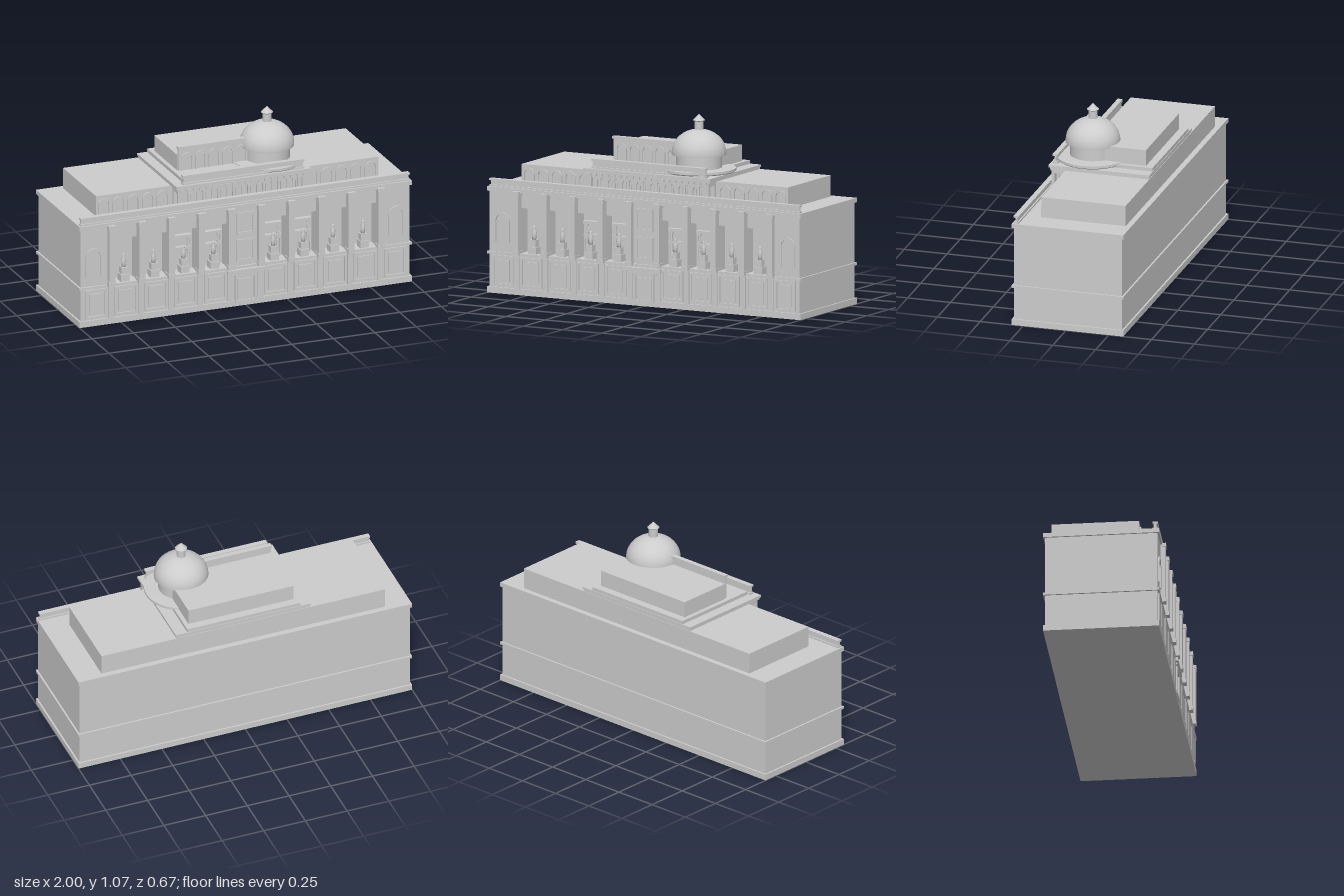
import * as THREE from 'three';

export function createModel() {
  const model = new THREE.Group();
  const stone = new THREE.MeshStandardMaterial({ color: 0xcccccc });
  stone.name = 'stone';

  const add = (name, geometry, x = 0, y = 0, z = 0) => {
    const mesh = new THREE.Mesh(geometry, stone);
    mesh.name = name;
    mesh.position.set(x, y, z);
    model.add(mesh);
    return mesh;
  };
  // Box from its minimum and maximum on each axis
  const block = (name, x0, x1, y0, y1, z0, z1) =>
    add(name, new THREE.BoxGeometry(x1 - x0, y1 - y0, z1 - z0), (x0 + x1) / 2, (y0 + y1) / 2, (z0 + z1) / 2);
  const lathe = (name, points, x, z, sides = 32) =>
    add(name, new THREE.LatheGeometry(points.map(([r, y]) => new THREE.Vector2(r, y)), sides), x, 0, z);
  const column = (name, x, z, y0, y1, r) => {
    add(name, new THREE.CylinderGeometry(r * 0.85, r, y1 - y0, 12), x, (y0 + y1) / 2, z);
    block(name + 'Cap', x - r * 1.3, x + r * 1.3, y1 - 0.012, y1, z - r * 1.3, z + r * 1.3);
    block(name + 'Base', x - r * 1.3, x + r * 1.3, y0, y0 + 0.01, z - r * 1.3, z + r * 1.3);
  };
  // Raised arch moulding on a front-facing wall
  const arch = (name, x, y0, spring, r, w, z, depth) => {
    const s = new THREE.Shape();
    s.moveTo(r, y0);
    s.lineTo(r, spring);
    s.absarc(0, spring, r, 0, Math.PI, false);
    s.lineTo(-r, y0);
    s.lineTo(-r + w, y0);
    s.lineTo(-r + w, spring);
    s.absarc(0, spring, r - w, Math.PI, 0, true);
    s.lineTo(r - w, y0);
    s.closePath();
    add(name, new THREE.ExtrudeGeometry(s, { depth, bevelEnabled: false, curveSegments: 10 }), x, 0, z);
  };
  // Rectangular picture-frame moulding
  const frame = (name, x0, x1, y0, y1, w, z, depth) => {
    block(name, x0, x1, y1 - w, y1, z, z + depth);
    block(name, x0, x1, y0, y0 + w, z, z + depth);
    block(name, x0, x0 + w, y0 + w, y1 - w, z, z + depth);
    block(name, x1 - w, x1, y0 + w, y1 - w, z, z + depth);
  };
  // Parapet with a foot, thin wall and cap
  const parapet = (name, x0, x1, y0, y1, z) => {
    block(name + 'Foot', x0, x1, y0, y0 + 0.01, z - 0.014, z + 0.014);
    block(name + 'Wall', x0 + 0.005, x1 - 0.005, y0 + 0.01, y1 - 0.011, z - 0.006, z + 0.006);
    block(name + 'Cap', x0, x1, y1 - 0.011, y1, z - 0.015, z + 0.015);
  };

  // Main body
  block('plinth', -1, 1, 0, 0.035, -0.335, 0.316);
  block('groundFloor', -0.99, 0.99, 0.035, 0.22, -0.325, 0.306);
  block('stringCourse', -1, 1, 0.22, 0.235, -0.335, 0.316);
  block('upperFloor', -0.99, 0.99, 0.235, 0.575, -0.325, 0.225);
  block('frieze', -0.84, 0.84, 0.49, 0.575, 0.225, 0.292);
  block('cornice', -1, 1, 0.575, 0.6, -0.335, 0.316);
  block('centreWall', -0.09, 0.09, 0.235, 0.575, 0.225, 0.305);
  parapet('mainParapet', -0.99, 0.99, 0.6, 0.645, 0.293);
  for (const s of [-1, 1]) {
    block('endWall', s * 0.91 - 0.08, s * 0.91 + 0.08, 0.235, 0.575, 0.225, 0.306);
    arch('endArch', s * 0.91, 0.29, 0.41, 0.05, 0.014, 0.306, 0.008);
  }
  frame('centreWindow', -0.055, 0.055, 0.26, 0.39, 0.014, 0.305, 0.007);
  frame('centreWindow', -0.055, 0.055, 0.42, 0.55, 0.014, 0.305, 0.007);

  // Pilasters with ground-floor strips below
  for (let i = 0; i < 10; i++) {
    const x = -0.81 + i * 0.18;
    block('pilaster', x - 0.018, x + 0.018, 0.235, 0.58, 0.225, 0.333);
    block('pilasterCap', x - 0.022, x + 0.022, 0.562, 0.586, 0.28, 0.336);
    block('pilasterFoot', x - 0.022, x + 0.022, 0.226, 0.25, 0.28, 0.336);
    block('groundStrip', x - 0.016, x + 0.016, 0.035, 0.22, 0.3, 0.314);
  }

  // Ground-floor panels, and statues in the bays above
  for (let i = -5; i <= 5; i++) {
    if (i === 0) continue;
    const x = i * 0.18, w = Math.abs(i) === 5 ? 0.065 : 0.068;
    frame('groundPanelFrame', x - w, x + w, 0.045, 0.215, 0.012, 0.306, 0.008);
    block('groundPanel', x - w + 0.025, x + w - 0.025, 0.07, 0.19, 0.3, 0.313);
    if (Math.abs(i) === 5) continue;
    block('pedestal', x - 0.026, x + 0.026, 0.235, 0.275, 0.25, 0.302);
    block('pedestalTop', x - 0.019, x + 0.019, 0.275, 0.315, 0.257, 0.295);
    lathe('statue', [[0.001, 0.315], [0.013, 0.315], [0.011, 0.335], [0.015, 0.358], [0.006, 0.37],
      [0.009, 0.38], [0.006, 0.39], [0.0005, 0.393]], x, 0.276, 12);
    // Columned windows in the four inner bays
    if (Math.abs(i) > 2) continue;
    block('windowSill', x - 0.06, x + 0.06, 0.355, 0.37, 0.225, 0.25);
    block('windowHood', x - 0.06, x + 0.06, 0.425, 0.442, 0.225, 0.255);
    for (const dx of [-0.045, 0.045]) {
      column('windowColumn', x + dx, 0.238, 0.235, 0.355, 0.008);
      column('windowColumnUpper', x + dx, 0.238, 0.37, 0.425, 0.007);
    }
  }

  // Entrance
  frame('doorFrame', -0.065, 0.065, 0.02, 0.185, 0.014, 0.306, 0.014);
  block('door', -0.045, 0.045, 0.03, 0.158, 0.3, 0.313);
  block('doorLintel', -0.085, 0.085, 0.185, 0.197, 0.3, 0.322);
  block('doorHood', -0.112, 0.112, 0.195, 0.217, 0.3, 0.328);

  // Set-back storey with arched bays
  block('atticStorey', -0.85, 0.85, 0.6, 0.72, -0.303, 0.188);
  for (const s of [-1, 1])
    for (let i = 0; i < 5; i++) arch('atticArch', s * (0.45 + i * 0.088), 0.6, 0.665, 0.036, 0.009, 0.188, 0.008);

  // Central portico
  for (const s of [-1, 1]) {
    block('porticoPier', s * 0.375 - 0.015, s * 0.375 + 0.015, 0.6, 0.72, 0.252, 0.271);
    block('porticoRearPier', s * 0.375 - 0.015, s * 0.375 + 0.015, 0.6, 0.72, 0.18, 0.205);
  }
  block('porticoBeam', -0.39, 0.39, 0.695, 0.72, 0.188, 0.268);
  for (let i = 0; i < 8; i++) column('porticoColumn', -0.315 + i * 0.09, 0.256, 0.6, 0.697, 0.01);
  for (let i = 0; i < 7; i++) arch('porticoArch', -0.27 + i * 0.09, 0.6, 0.655, 0.032, 0.008, 0.188, 0.008);
  for (let i = 0; i < 20; i++) {
    const x = -0.37 + i * 0.039;
    block('bracket', x - 0.007, x + 0.007, 0.705, 0.72, 0.26, 0.279);
  }
  block('porticoCornice', -0.4, 0.4, 0.72, 0.732, -0.3, 0.275);
  block('porticoCorniceTop', -0.405, 0.405, 0.732, 0.745, -0.305, 0.284);
  block('roofStep', -0.345, 0.335, 0.745, 0.765, -0.302, 0.235);
  parapet('porticoParapet', -0.36, 0.37, 0.745, 0.8, 0.256);

  // Roof block and its tall arched front wall
  block('roofBlock', -0.32, 0.31, 0.765, 0.857, -0.256, 0.08);
  block('roofFrontWall', -0.315, 0.2, 0.765, 0.893, 0.078, 0.094);
  block('roofFrontCap', -0.32, 0.2, 0.893, 0.907, 0.073, 0.102);
  for (let i = 0; i < 5; i++) arch('roofArch', -0.265 + i * 0.082, 0.765, 0.835, 0.034, 0.009, 0.094, 0.007);

  // Dome with flared base, drum and lantern
  const dx = 0.222, dz = 0.08;
  lathe('domeBase', [[0.001, 0.738], [0.13, 0.738], [0.2, 0.75], [0.2, 0.75], [0.208, 0.756], [0.208, 0.756],
    [0.208, 0.77], [0.208, 0.77], [0.128, 0.772]], dx, dz, 40);
  add('drum', new THREE.CylinderGeometry(0.128, 0.128, 0.1, 40), dx, 0.8, dz);
  const profile = [[0.001, 0.845], [0.152, 0.845], [0.152, 0.845], [0.153, 0.856]];
  for (let i = 1; i <= 10; i++) {
    const a = (i / 10) * Math.PI / 2;
    profile.push([Math.max(0.0005, 0.153 * Math.cos(a)), 0.856 + 0.131 * Math.sin(a)]);
  }
  lathe('dome', profile, dx, dz, 40);
  add('lantern', new THREE.CylinderGeometry(0.026, 0.026, 0.06, 20), dx, 1.005, dz);
  add('lanternEave', new THREE.CylinderGeometry(0.034, 0.026, 0.006, 20), dx, 1.034, dz);
  add('lanternRoof', new THREE.ConeGeometry(0.034, 0.035, 20), dx, 1.0545, dz);

  return model;
}
